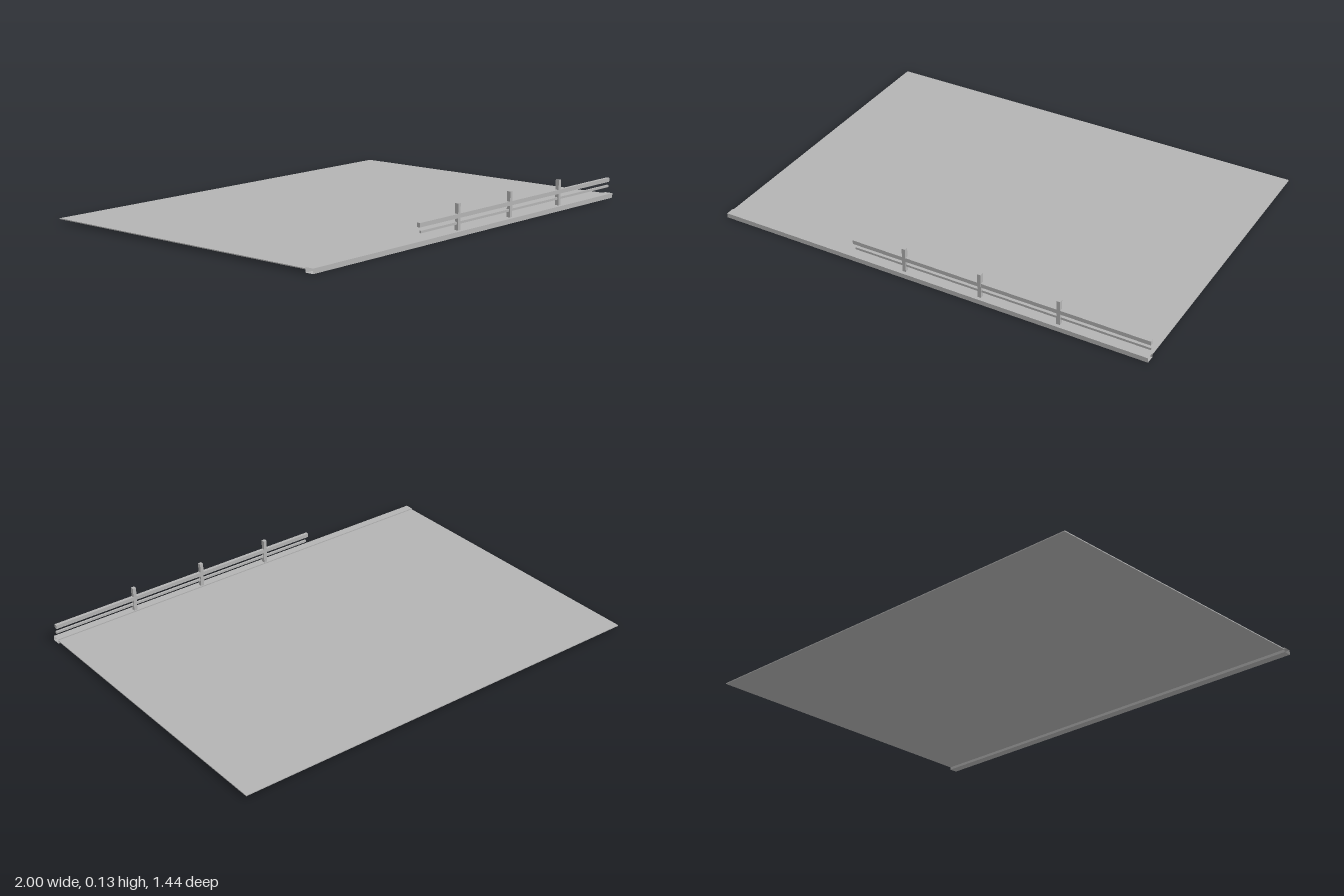
import * as THREE from 'three';

export function createModel() {
  const group = new THREE.Group();
  const grey = new THREE.MeshStandardMaterial({ color: 0xb4b4b4 });
  grey.name = 'concrete grey';
  const openGrey = new THREE.MeshStandardMaterial({ color: 0xb4b4b4, side: THREE.DoubleSide, flatShading: true });
  openGrey.name = 'open edge grey';

  // Box given by its limits on each axis
  const box = (name, x0, x1, y0, y1, z0, z1) => {
    const mesh = new THREE.Mesh(new THREE.BoxGeometry(x1 - x0, y1 - y0, z1 - z0), grey);
    mesh.position.set((x0 + x1) / 2, (y0 + y1) / 2, (z0 + z1) / 2);
    mesh.name = name;
    group.add(mesh);
  };

  // Thin deck
  box('deck', -1, 1, 0.012, 0.016, -0.72, 0.682);

  // Edge beam along the front: a square tube with open ends
  const tube = new THREE.CylinderGeometry(Math.SQRT1_2, Math.SQRT1_2, 2, 4, 1, true, Math.PI / 4);
  tube.rotateZ(Math.PI / 2).scale(1, 0.021, 0.038);
  const beam = new THREE.Mesh(tube, openGrey);
  beam.position.set(0, 0.0105, 0.701);
  beam.name = 'edgeBeam';
  group.add(beam);

  // Railing: two rails carried by three posts
  box('topRail', -0.36, 1, 0.071, 0.089, 0.687, 0.702);
  box('lowerRail', -0.35, 1, 0.046, 0.056, 0.69, 0.699);
  for (const x of [-0.11, 0.245, 0.602]) {
    box('railPost', x - 0.008, x + 0.008, 0.021, 0.132, 0.6865, 0.7035);
  }
  return group;
}
